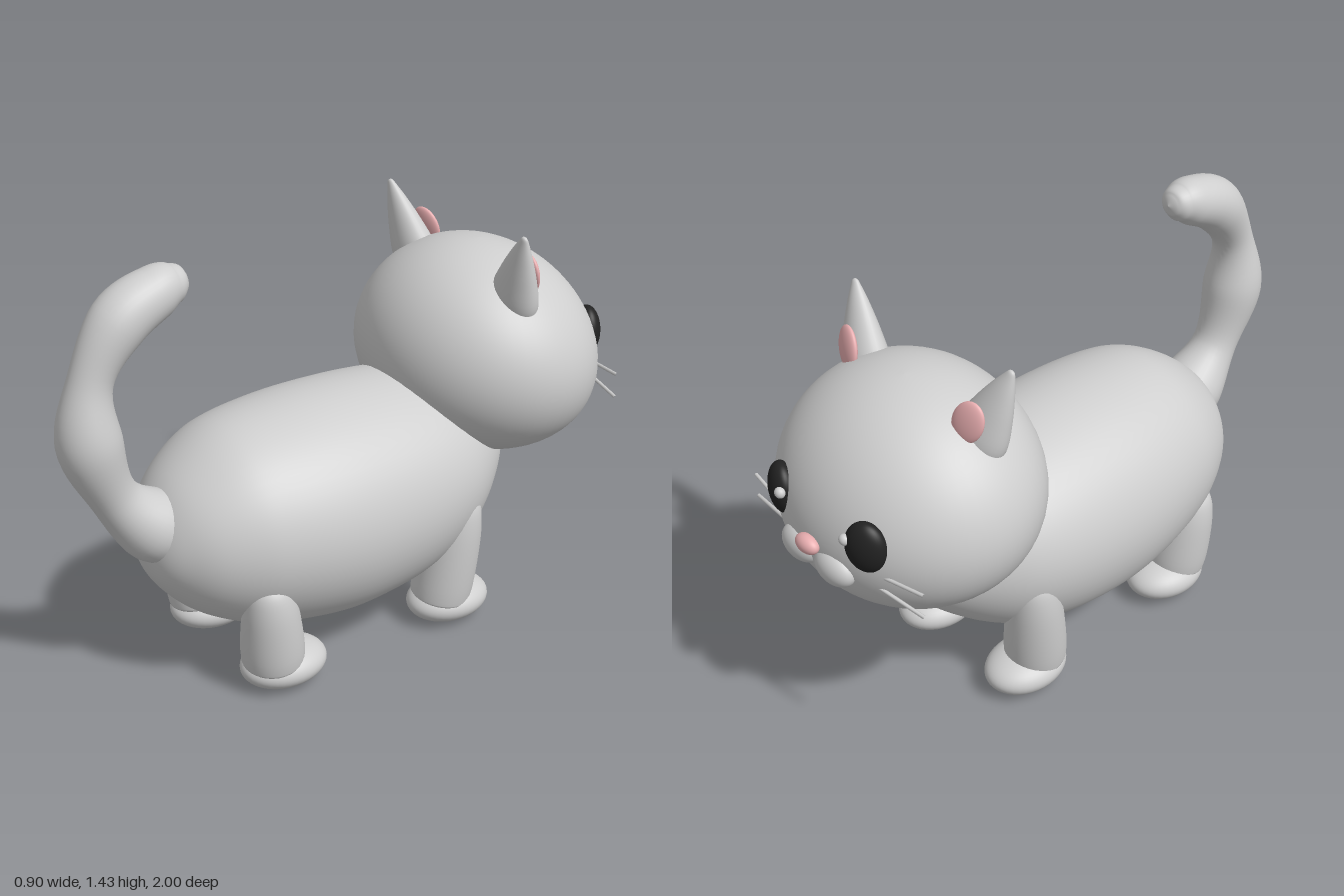
import * as THREE from 'three';

const V = (x, y, z) => new THREE.Vector3(x, y, z);
const UP = V(0, 1, 0);

function material(name, color) {
  const m = new THREE.MeshStandardMaterial({ color });
  m.name = name;
  return m;
}

// Closed skin through rings; ring(t) gives centre, half sizes and the second ring axis
function loft(ring, rows, sides) {
  const pos = [], index = [];
  for (let i = 0; i <= rows; i++) {
    const { c, rx, ry, u } = ring(i / rows);
    for (let j = 0; j < sides; j++) {
      const a = (j / sides) * Math.PI * 2;
      const p = c.clone().addScaledVector(u, Math.sin(a) * ry);
      pos.push(p.x + Math.cos(a) * rx, p.y, p.z);
      if (i < rows) {
        const k = (j + 1) % sides, r = i * sides, n = r + sides;
        index.push(r + j, r + k, n + j, r + k, n + k, n + j);
      }
    }
  }
  const g = new THREE.BufferGeometry();
  g.setAttribute('position', new THREE.Float32BufferAttribute(pos, 3));
  g.setIndex(index);
  g.computeVertexNormals();
  return g;
}

// Smooth turned shape through [radius, height] points
function turned(points) {
  const curve = new THREE.SplineCurve(points.map(([r, y]) => new THREE.Vector2(r, y)));
  const pts = curve.getPoints(28);
  pts.forEach((p) => { p.x = Math.max(p.x, 0); });
  return new THREE.LatheGeometry(pts, 32);
}

export function createModel() {
  const cat = new THREE.Group();
  cat.name = 'cat';
  const fur = material('light grey fur', 0xcecece);
  const pink = material('pink skin', 0xe8aeb0);
  const black = material('eye black', 0x222222);

  function add(name, geometry, mat, pos = V(0, 0, 0)) {
    const m = new THREE.Mesh(geometry, mat);
    m.name = name;
    m.position.copy(pos);
    cat.add(m);
    return m;
  }
  const ball = new THREE.SphereGeometry(1, 40, 28);
  function ellipsoid(name, mat, pos, size) {
    const m = add(name, ball, mat, pos);
    m.scale.copy(size);
    return m;
  }

  // Body: z, underside, back, half width
  const stations = [
    [-0.64, 0.55, 0.55, 0], [-0.61, 0.46, 0.65, 0.1], [-0.55, 0.36, 0.72, 0.18],
    [-0.42, 0.245, 0.8, 0.285], [-0.3, 0.178, 0.845, 0.343], [-0.13, 0.125, 0.868, 0.377],
    [0.08, 0.105, 0.878, 0.388], [0.25, 0.125, 0.873, 0.378], [0.4, 0.16, 0.858, 0.349],
    [0.5, 0.2, 0.825, 0.314], [0.6, 0.262, 0.76, 0.255], [0.67, 0.33, 0.69, 0.185],
    [0.72, 0.405, 0.6, 0.105], [0.745, 0.495, 0.495, 0],
  ];
  const outline = new THREE.CatmullRomCurve3(stations.map(([z, b, t]) => V(b, t, z)), false, 'catmullrom');
  const widths = new THREE.CatmullRomCurve3(stations.map((s) => V(s[3], 0, 0)), false, 'catmullrom');
  add('body', loft((t) => {
    const o = outline.getPoint(t);
    return { c: V(0, (o.x + o.y) / 2, o.z), rx: Math.max(0, widths.getPoint(t).x), ry: Math.max(0, (o.y - o.x) / 2), u: UP };
  }, 78, 56), fur);

  // Tail: z, y, radius
  const tailPoints = [
    [0.6, 0.54, 0.1], [0.705, 0.59, 0.116], [0.828, 0.725, 0.077], [0.9, 0.93, 0.101],
    [0.882, 1.125, 0.069], [0.78, 1.285, 0.09], [0.655, 1.35, 0.081], [0.59, 1.365, 0.06],
    [0.56, 1.368, 0.037], [0.546, 1.369, 0],
  ];
  const path = new THREE.CatmullRomCurve3(tailPoints.map(([z, y]) => V(0, y, z)), false, 'catmullrom');
  const girth = new THREE.CatmullRomCurve3(tailPoints.map((p) => V(p[2], 0, 0)), false, 'catmullrom');
  add('tail', loft((t) => {
    const r = Math.max(0, girth.getPoint(t).x);
    return { c: path.getPoint(t), rx: r, ry: r, u: path.getTangent(t).cross(V(1, 0, 0)).normalize() };
  }, 72, 32), fur);

  // Head, with low cheeks and a slightly dropped face
  add('head', loft((t) => {
    const r = Math.sin(t * Math.PI);
    return { c: V(0, 0.888 + 0.362 * Math.cos(t * Math.PI) - 0.025 * r * r, -0.571), rx: 0.45 * r, ry: 0.386 * r, u: V(0, 0.08, 1) };
  }, 40, 56), fur);
  ellipsoid('nose', pink, V(0, 0.84, -0.968), V(0.046, 0.03, 0.028));

  const earShape = turned([[0.085, -0.03], [0.092, 0.04], [0.07, 0.13], [0.043, 0.21], [0.02, 0.265], [0.01, 0.284], [0, 0.288]]);
  const legShape = (h) => turned([[0, 0], [0.088, 0.012], [0.103, 0.04], [0.099, h * 0.4], [0.084, h * 0.72], [0.056, h * 0.92], [0, h]]);
  const frontLegShape = legShape(0.43), rearLegShape = legShape(0.35);

  for (const s of [1, -1]) {
    const side = s > 0 ? 'left' : 'right';

    // Ears lean outward
    const lean = new THREE.Quaternion().setFromUnitVectors(UP, V(s * 0.095, 0.265, 0.05).normalize());
    const ear = add(side + 'Ear', earShape, fur, V(s * 0.25, 1.11, -0.515));
    ear.quaternion.copy(lean);
    ear.scale.z = 0.7;
    const inner = ellipsoid(side + 'InnerEar', pink, V(s * 0.268, 1.212, -0.567), V(0.053, 0.07, 0.018));
    inner.quaternion.setFromAxisAngle(UP, -s * 0.2).multiply(lean);

    // Face
    const eye = ellipsoid(side + 'Eye', black, V(s * 0.195, 0.905, -0.901), V(0.068, 0.087, 0.044));
    eye.rotation.y = -s * 0.42;
    ellipsoid(side + 'EyeGlint', fur, V(s * 0.15, 0.93, -0.944), V(0.018, 0.018, 0.016));
    ellipsoid(side + 'Muzzle', fur, V(s * 0.078, 0.778, -0.932), V(0.08, 0.058, 0.046));
    [[0.805, 0.82], [0.772, 0.738]].forEach(([y0, y1], i) => {
      const line = new THREE.LineCurve3(V(s * 0.15, y0, -0.9), V(s * 0.393, y1, -0.862));
      add(side + 'Whisker' + (i + 1), new THREE.TubeGeometry(line, 1, 0.006, 8), fur);
    });

    // Legs and paws
    for (const [name, shape, z, tilt, pawZ] of [
      ['Front', frontLegShape, -0.265, -0.05, -0.305], ['Rear', rearLegShape, 0.412, 0.045, 0.37],
    ]) {
      const leg = add(side + name + 'Leg', shape, fur, V(s * 0.222, 0.088, z));
      leg.quaternion.setFromUnitVectors(UP, V(s * 0.05, 0.4, tilt).normalize());
      ellipsoid(side + name + 'Paw', fur, V(s * 0.217, 0.074, pawZ), V(0.118, 0.071, 0.15));
    }
  }
  return cat;
}
